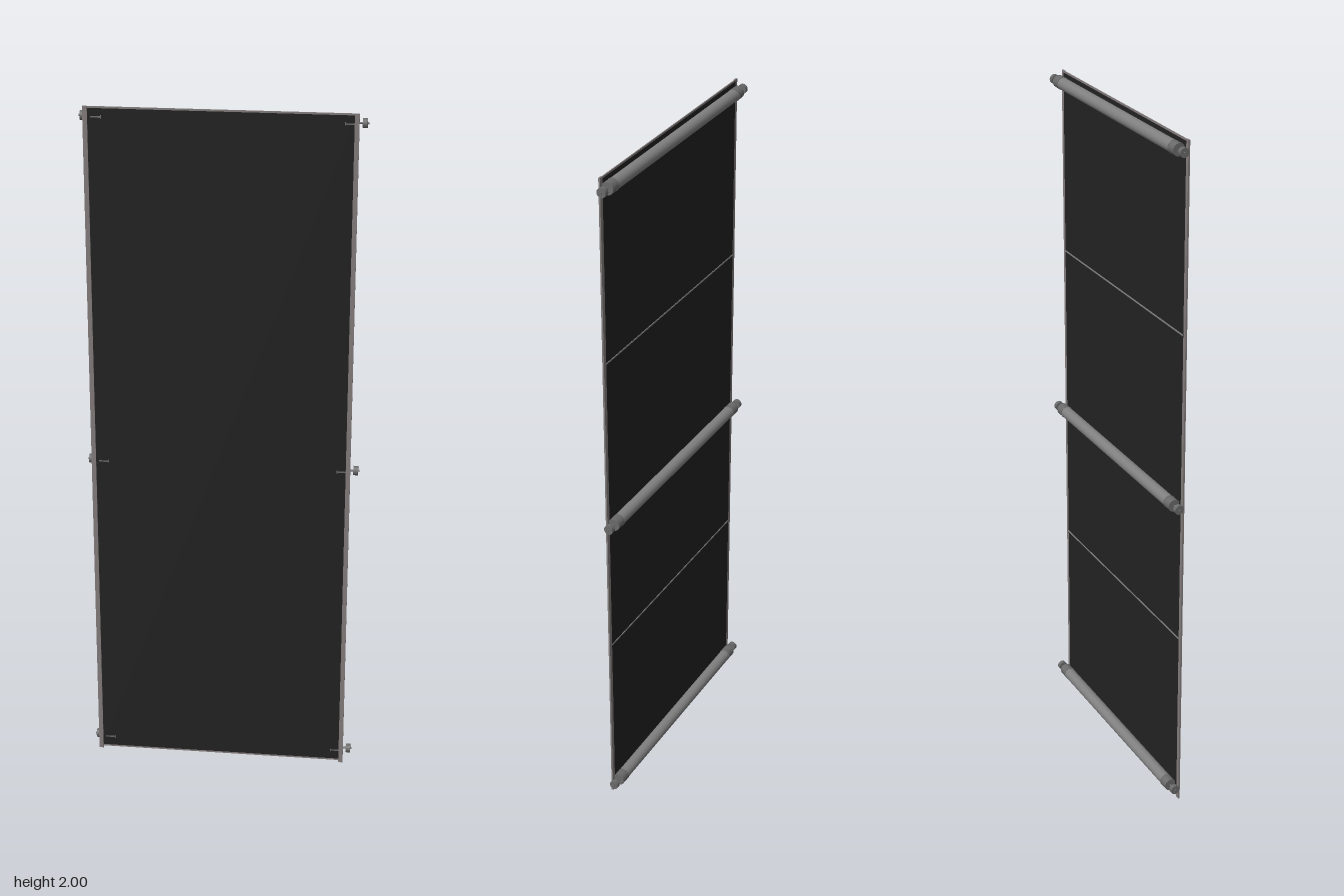
import * as THREE from 'three';

const material = (name, color) => {
  const m = new THREE.MeshStandardMaterial({ color });
  m.name = name;
  return m;
};

export function createModel() {
  const group = new THREE.Group();
  group.name = 'rollerFrame';
  const dark = material('panelBlack', 0x222222);
  const steel = material('rollerGrey', 0x808080);
  const capGrey = material('capGrey', 0x6a6a6a);
  const rail = material('railGrey', 0x837c7c);

  const box = (parent, name, size, pos, mat) => {
    const mesh = new THREE.Mesh(new THREE.BoxGeometry(...size), mat);
    mesh.name = name;
    mesh.position.set(...pos);
    parent.add(mesh);
  };
  // Cylinder lying along x
  const rod = (parent, name, radius, length, x, mat, sides = 24) => {
    const geo = new THREE.CylinderGeometry(radius, radius, length, sides).rotateZ(Math.PI / 2);
    const mesh = new THREE.Mesh(geo, mat);
    mesh.name = name;
    mesh.position.x = x;
    parent.add(mesh);
  };

  // Sheet and its thin frame, set slightly off centre
  const cx = -0.006;
  box(group, 'panel', [0.724, 1.984, 0.003], [cx, 1.003, 0.016], dark);
  for (const s of [-1, 1]) {
    const side = s < 0 ? 'right' : 'left';
    box(group, side + 'Rail', [0.013, 2, 0.005], [cx + s * 0.3675, 1, 0.0172], rail);
    box(group, s < 0 ? 'bottomEdge' : 'topEdge', [0.724, 0.005, 0.003],
      [cx, s < 0 ? 0.0085 : 1.9975, 0.016], rail);
  }

  // Thin battens across the back
  for (const y of [0.54, 1.465]) {
    box(group, 'batten', [0.724, 0.004, 0.002], [cx, y, 0.0138], steel);
  }

  // Rollers with end caps, axle and outer wheels
  for (const y of [0.04, 0.96, 1.971]) {
    const roller = new THREE.Group();
    roller.name = 'roller';
    roller.position.set(0, y, 0);
    rod(roller, 'tube', 0.0172, 0.66, 0, steel);
    rod(roller, 'axle', 0.003, 0.786, 0, capGrey, 12);
    for (const s of [-1, 1]) {
      rod(roller, 'endCap', 0.0178, 0.029, s * 0.3445, capGrey);
      rod(roller, 'capRim', 0.0184, 0.002, s * 0.33, capGrey);
      rod(roller, 'endWheel', 0.0135, 0.013, s * 0.3825, capGrey, 16);
    }
    group.add(roller);
  }
  return group;
}
